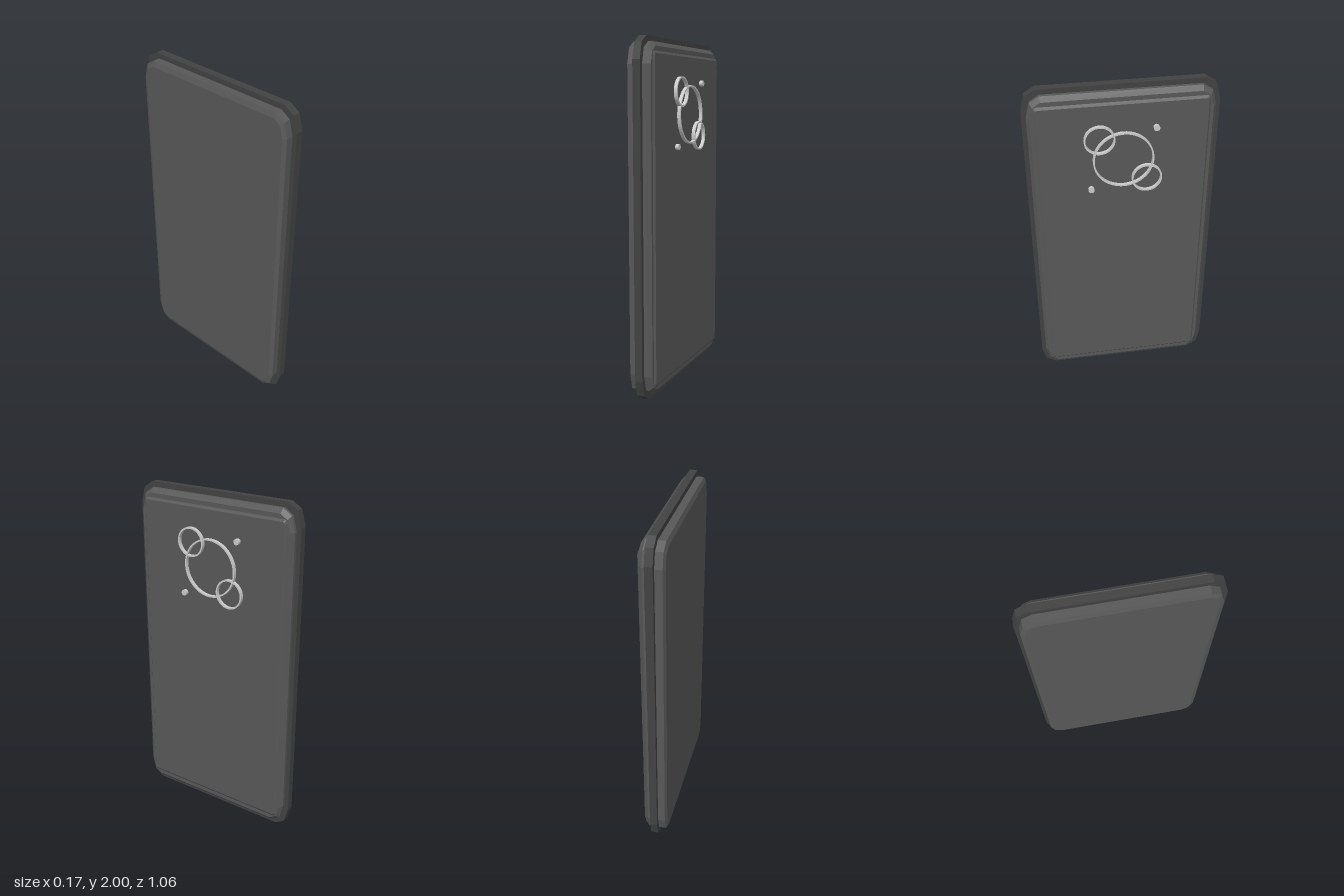
import * as THREE from 'three';

const MID_Y = 1;
const shellMaterial = new THREE.MeshStandardMaterial({ color: 0x585858, flatShading: true });
const bandMaterial = new THREE.MeshStandardMaterial({ color: 0x424242, flatShading: true });
const trimMaterial = new THREE.MeshStandardMaterial({ color: 0xcccccc });

// Rounded rectangle in the z-y plane with two-segment elliptical corners
function outline(halfZ, halfY, cornerZ, cornerY) {
  const points = [];
  const signs = [[1, 1], [-1, 1], [-1, -1], [1, -1]];
  signs.forEach(([sz, sy], quarter) => {
    for (let i = 0; i <= 2; i++) {
      const a = (quarter + i / 2) * Math.PI / 2;
      points.push([
        sz * (halfZ - cornerZ) + Math.cos(a) * cornerZ,
        MID_Y + sy * (halfY - cornerY) + Math.sin(a) * cornerY,
      ]);
    }
  });
  return points;
}

// Solid slab through sections [x, halfZ, halfY, cornerZ, cornerY], from -x to +x
function slab(name, sections, material) {
  const positions = [];
  const index = [];
  const n = 12;
  for (const [x, ...size] of sections) {
    for (const [z, y] of outline(...size)) positions.push(x, y, z);
  }
  for (let s = 0; s < sections.length - 1; s++) {
    for (let i = 0; i < n; i++) {
      const a = s * n + i, b = s * n + (i + 1) % n;
      index.push(a, a + n, b, b, a + n, b + n);
    }
  }
  const top = (sections.length - 1) * n;
  for (let i = 1; i < n - 1; i++) {
    index.push(0, i, i + 1);
    index.push(top, top + i + 1, top + i);
  }
  const geometry = new THREE.BufferGeometry();
  geometry.setAttribute('position', new THREE.Float32BufferAttribute(positions, 3));
  geometry.setIndex(index);
  geometry.computeVertexNormals();
  const mesh = new THREE.Mesh(geometry, material);
  mesh.name = name;
  return mesh;
}

// Thin raised hoop standing on the +x face
function hoop(name, z, y, radius) {
  const shape = new THREE.Shape().absarc(0, 0, radius, 0, Math.PI * 2);
  shape.holes.push(new THREE.Path().absarc(0, 0, radius - 0.009, 0, Math.PI * 2, true));
  const geometry = new THREE.ExtrudeGeometry(shape, { depth: 0.025, bevelEnabled: false, curveSegments: 32 });
  geometry.rotateY(Math.PI / 2);
  const mesh = new THREE.Mesh(geometry, trimMaterial);
  mesh.position.set(0.058, y, z);
  mesh.name = name;
  return mesh;
}

// Small round stud on the +x face
function stud(name, z, y) {
  const geometry = new THREE.CylinderGeometry(0.017, 0.017, 0.025, 24).rotateZ(-Math.PI / 2);
  const mesh = new THREE.Mesh(geometry, trimMaterial);
  mesh.position.set(0.0705, y, z);
  mesh.name = name;
  return mesh;
}

export function createModel() {
  const model = new THREE.Group();
  model.name = 'flatDevice';

  // Bevelled main shell
  model.add(slab('shell', [
    [-0.085, 0.482, 0.94, 0.055, 0.09],
    [-0.075, 0.505, 0.97, 0.075, 0.12],
    [0.03, 0.505, 0.97, 0.075, 0.12],
    [0.053, 0.487, 0.945, 0.06, 0.095],
  ], shellMaterial));

  // Wider band around the edge
  model.add(slab('edgeBand', [
    [-0.033, 0.53, 1, 0.082, 0.127],
    [0.011, 0.53, 1, 0.082, 0.127],
  ], bandMaterial));

  // Raised panel with sloped border
  model.add(slab('panelBorder', [
    [0.05, 0.472, 0.924, 0.014, 0.022],
    [0.063, 0.459, 0.906, 0.01, 0.016],
  ], shellMaterial));

  // Hoops and studs near the top of the panel
  model.add(hoop('largeHoop', 0, 1.58, 0.168));
  model.add(hoop('upperHoop', 0.13, 1.71, 0.085));
  model.add(hoop('lowerHoop', -0.13, 1.453, 0.085));
  model.add(stud('upperStud', -0.178, 1.761));
  model.add(stud('lowerStud', 0.18, 1.401));

  return model;
}
